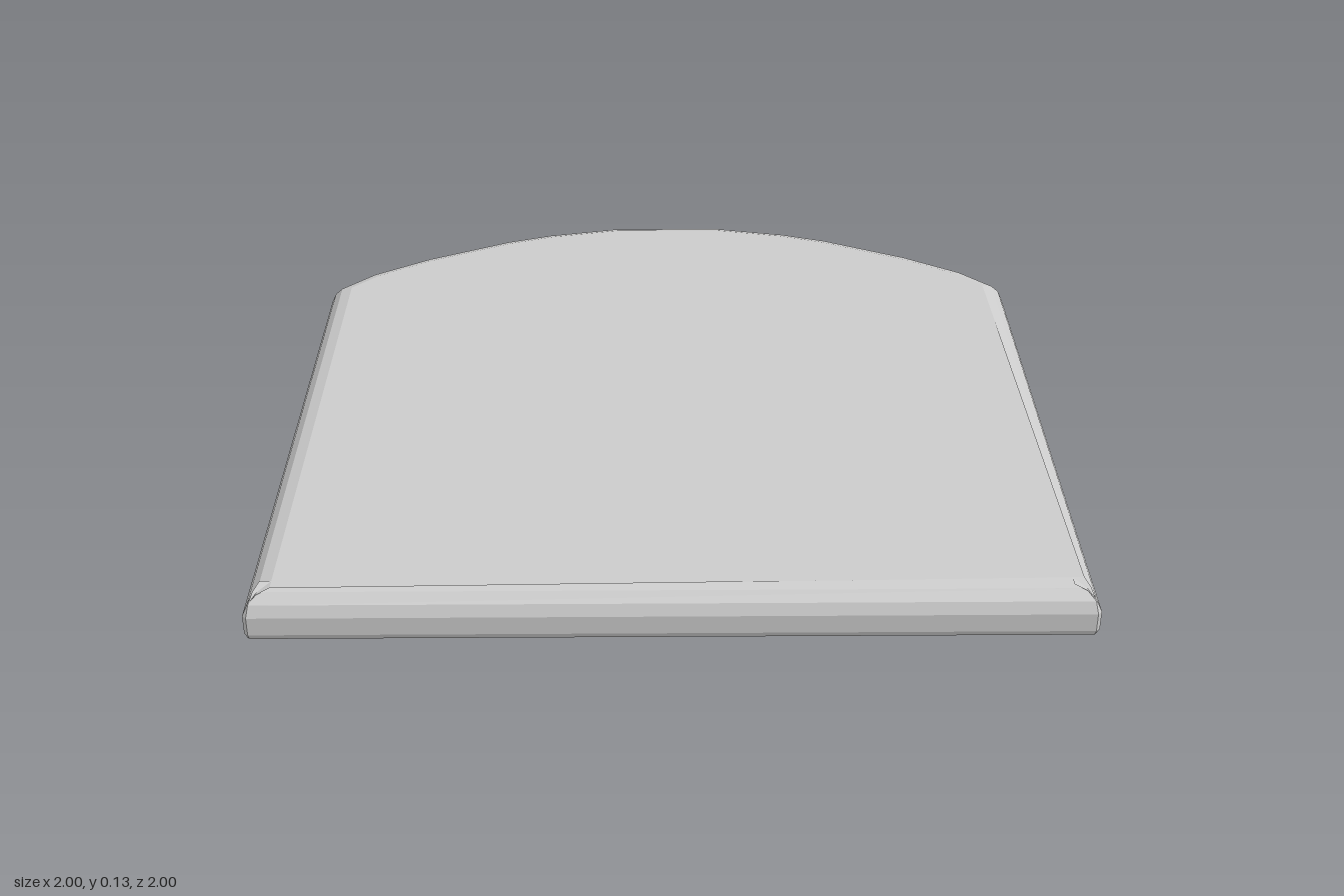
import * as THREE from 'three';

// Back arc, right half: [x, z] from the side corner to the flat crown
const ARC = [[1, -0.58], [0.9, -0.685], [0.74, -0.79], [0.5, -0.91], [0.37, -0.955], [0.16, -1]];

// Edge rounding: [inset, y] from underside to top
const EDGE = [[0.02, 0], [0.005, 0.008], [0, 0.022], [0, 0.07], [0.013, 0.098], [0.035, 0.12], [0.065, 0.13]];

// Moves every edge of the outline inwards by d, with mitred corners
function inset(outline, d) {
  const n = outline.length;
  const normal = (a, b) => {
    const dx = b[0] - a[0], dz = b[1] - a[1], l = Math.hypot(dx, dz);
    return [-dz / l, dx / l];
  };
  return outline.map((p, i) => {
    const a = normal(outline[(i + n - 1) % n], p);
    const b = normal(p, outline[(i + 1) % n]);
    const k = d / (1 + a[0] * b[0] + a[1] * b[1]);
    return [p[0] - (a[0] + b[0]) * k, p[1] - (a[1] + b[1]) * k];
  });
}

export function createModel() {
  const group = new THREE.Group();
  group.name = 'archedSlab';

  // Outline, counterclockwise from above, with tiny clipped front corners
  const mirrored = ARC.map(([x, z]) => [-x, z]).reverse();
  const outline = [[0.99, 1], [1, 0.99], ...ARC, ...mirrored, [-1, 0.99], [-0.99, 1]];
  const n = outline.length;

  // Stacked rings form the rounded rim
  const positions = [], index = [];
  EDGE.forEach(([d, y], j) => {
    for (const [x, z] of inset(outline, d)) positions.push(x, y, z);
    if (j === 0) return;
    for (let i = 0; i < n; i++) {
      const a = (j - 1) * n + i, b = (j - 1) * n + (i + 1) % n;
      index.push(a, b, b + n, a, b + n, a + n);
    }
  });

  // Flat top and underside
  const top = (EDGE.length - 1) * n;
  for (let i = 1; i < n - 1; i++) {
    index.push(top, top + i, top + i + 1);
    index.push(0, i + 1, i);
  }

  const geometry = new THREE.BufferGeometry();
  geometry.setAttribute('position', new THREE.Float32BufferAttribute(positions, 3));
  geometry.setIndex(index);
  geometry.computeVertexNormals();

  const slab = new THREE.Mesh(geometry, new THREE.MeshStandardMaterial({ color: 0xcccccc, flatShading: true }));
  slab.name = 'slab';
  group.add(slab);
  return group;
}
